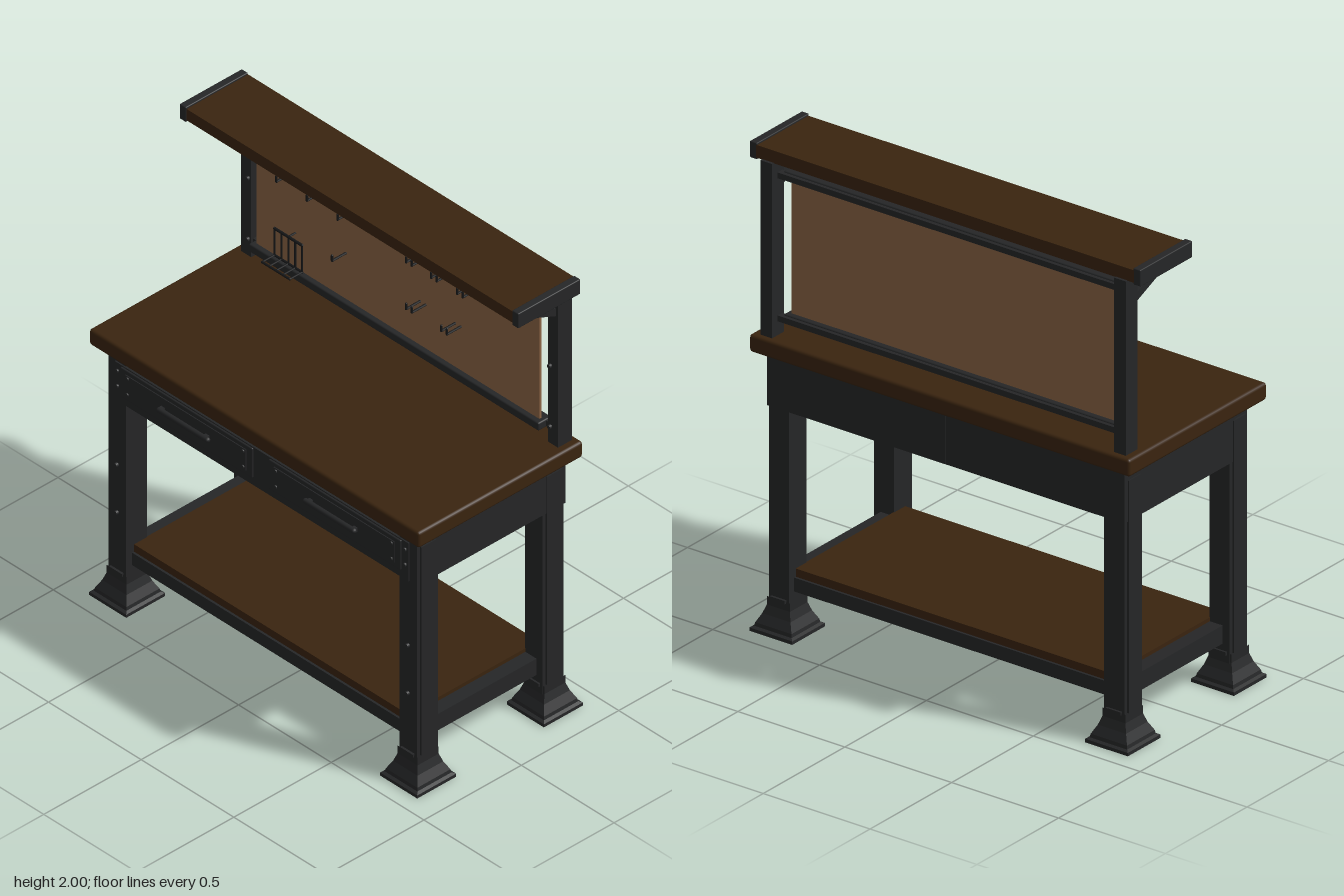
import * as THREE from 'three';
import { RoundedBoxGeometry } from 'three/addons/geometries/RoundedBoxGeometry.js';

const mat = (name, color) => Object.assign(new THREE.MeshStandardMaterial({ color }), { name });

export function createModel() {
  const root = new THREE.Group();
  root.name = 'workbench';
  const wood = mat('dark wood', 0x3a240f);
  const metal = mat('dark metal', 0x252627);
  const board = mat('pegboard tan', 0x8c6545);
  const black = mat('black steel', 0x161718);

  const add = (name, geo, material, parent = root) => {
    const m = new THREE.Mesh(geo, material);
    m.name = name;
    parent.add(m);
    return m;
  };
  // Box given by its extents on each axis; r rounds the edges
  const box = (name, x, y, z, material, r = 0, parent = root) => {
    const s = [x, y, z].map(([a, b]) => Math.abs(b - a));
    const geo = r ? new RoundedBoxGeometry(...s, 2, r) : new THREE.BoxGeometry(...s);
    const m = add(name, geo, material, parent);
    m.position.set((x[0] + x[1]) / 2, (y[0] + y[1]) / 2, (z[0] + z[1]) / 2);
    return m;
  };
  const span = (side, a, b) => (side > 0 ? [a, b] : [-b, -a]);
  // Bolt head facing +z
  const bolt = (x, y, z, r = 0.009, h = 0.012) => {
    const m = add('bolt', new THREE.CylinderGeometry(r, r, h, 10), metal);
    m.rotation.x = Math.PI / 2;
    m.position.set(x, y, z + h / 2);
  };
  // Wire through a list of points
  const wire = (name, pts, r = 0.005) => {
    const path = new THREE.CurvePath();
    for (let i = 1; i < pts.length; i++) {
      path.add(new THREE.LineCurve3(new THREE.Vector3(...pts[i - 1]), new THREE.Vector3(...pts[i])));
    }
    path.curves.forEach((c) => add(name, new THREE.TubeGeometry(c, 1, r, 6), black));
    pts.forEach((p) => add(name + 'Joint', new THREE.SphereGeometry(r, 6, 4), black).position.set(...p));
  };

  // Worktop and lower shelf
  box('worktop', [-0.89, 0.89], [1.15, 1.222], [-0.422, 0.422], wood, 0.012);
  box('lowerShelf', [-0.74, 0.74], [0.225, 0.266], [-0.335, 0.335], wood);

  // Flared square foot
  const profile = [[0, 0], [0.1, 0], [0.1, 0.014], [0.088, 0.02], [0.085, 0.034], [0.066, 0.07], [0.054, 0.105], [0.054, 0.14]]
    .map(([h, y]) => new THREE.Vector2(h * Math.SQRT2, y));
  const footGeo = new THREE.LatheGeometry(profile, 4, Math.PI / 4).toNonIndexed();
  footGeo.computeVertexNormals();

  // Legs with feet, outer strips and side rails
  for (const s of [-1, 1]) {
    for (const t of [-1, 1]) {
      add('foot', footGeo, metal).position.set(s * 0.785, 0, t * 0.325);
      box('leg', span(s, 0.737, 0.832), [0.1, 1.15], span(t, 0.268, 0.376), metal);
      box('legStrip', span(s, 0.83, 0.84), [0.14, 1.1], span(t, 0.285, 0.36), metal);
      box('legCollarTab', span(s, 0.75, 0.82), [0.133, 0.147], span(t, 0.26, 0.386), metal);
    }
    box('shelfSideRail', span(s, 0.74, 0.8), [0.175, 0.25], [-0.3, 0.3], metal);
    box('shelfLongRail', [-0.745, 0.745], [0.175, 0.232], span(s, 0.29, 0.345), metal);
    for (const y of [0.41, 0.63]) bolt(s * 0.785, y, 0.376);
    // Side panel under the worktop
    box('sideApron', span(s, 0.805, 0.836), [0.93, 1.14], [-0.375, 0.3], metal);
    // Rear panels meet with a narrow seam
    box('rearApron', span(s, 0.001, 0.836), [0.93, 1.14], [-0.382, -0.35], metal);
  }

  // Drawer case
  box('caseFront', [-0.793, 0.793], [0.93, 1.105], [0.33, 0.382], metal);
  box('caseFloor', [-0.81, 0.81], [0.945, 0.96], [-0.36, 0.34], metal);
  box('caseTop', [-0.74, 0.74], [1.1, 1.138], [-0.35, 0.345], metal);

  // Drawers with bar handles and corner bolts
  for (const s of [-1, 1]) {
    const cx = s * 0.4;
    box('drawerFront', [cx - 0.356, cx + 0.356], [0.965, 1.1], [0.37, 0.389], metal, 0.004);
    box('drawerPanel', [cx - 0.325, cx + 0.325], [0.985, 1.082], [0.385, 0.393], metal);
    const handle = add('drawerHandle', new THREE.CapsuleGeometry(0.011, 0.26, 4, 10), metal);
    handle.rotation.z = Math.PI / 2;
    handle.position.set(cx - s * 0.005, 1.035, 0.408);
    for (const e of [-1, 1]) {
      box('handlePost', [cx + e * 0.12 - 0.01, cx + e * 0.12 + 0.01], [1.026, 1.044], [0.388, 0.408], metal);
      for (const y of [0.998, 1.07]) bolt(cx + e * 0.312, y, 0.388, 0.008, 0.01);
    }
    for (const y of [1.0, 1.07]) bolt(s * 0.776, y, 0.38, 0.008, 0.01);
  }

  // Uprights, braces and shelf end caps
  for (const s of [-1, 1]) {
    box('upright', span(s, 0.8, 0.855), [1.22, 1.942], [-0.398, -0.326], metal);
    const brace = box('shelfBrace', span(s, 0.812, 0.844), [-0.016, 0.016], [-0.1, 0.1], metal);
    brace.position.set(s * 0.828, 1.876, -0.24);
    brace.rotation.x = -0.4;
    box('shelfEndCap', span(s, 0.88, 0.914), [1.932, 2], [-0.386, -0.066], metal, 0.004);
    for (const y of [1.3, 1.58, 1.88]) bolt(s * 0.815, y, -0.327, 0.009, 0.012);
  }
  box('upperShelf', [-0.885, 0.885], [1.94, 1.992], [-0.386, -0.07], wood);

  // Pegboard between two rails
  box('pegboard', [-0.763, 0.763], [1.29, 1.885], [-0.328, -0.318], board);
  for (const y of [1.292, 1.883]) {
    box('boardRail', [-0.782, 0.782], [y - 0.018, y + 0.018], [-0.35, -0.295], metal, 0.006);
    box('railMount', [-0.81, 0.81], [y - 0.012, y + 0.012], [-0.365, -0.335], metal);
  }

  // Hooks, single and in pairs
  const hooks = [
    [1.728, [-0.58, -0.415, -0.25, 0.12, 0.15, 0.255, 0.285, 0.395, 0.425]],
    [1.522, [-0.28]],
    [1.512, [0.12, 0.15, 0.31, 0.34]],
  ];
  for (const [y, xs] of hooks) {
    for (const x of xs) wire('hook', [[x, y, -0.32], [x, y, -0.246], [x, y + 0.024, -0.246]]);
  }

  // Wire rack: upright grid with a ledge of prongs
  const [x0, x1, yb, yt, zb, zf] = [-0.627, -0.478, 1.347, 1.47, -0.281, -0.217];
  for (let i = 0; i < 5; i++) {
    const x = x0 + ((x1 - x0) * i) / 4;
    if (i !== 2) wire('rackWire', [[x, yt, zb], [x, yb, zb], [x, yb, zf]], 0.004);
    else wire('rackWire', [[x, yt, -0.318], [x, yt, zb], [x, yb, zb], [x, yb, zf]], 0.004);
  }
  wire('rackFrame', [[x0, yt, zb], [x1, yt, zb]], 0.006);
  wire('rackFrame', [[x0, yb, zf], [x1, yb, zf]], 0.005);
  wire('rackFrame', [[x0, yb, zb], [x1, yb, zb]], 0.005);

  return root;
}
